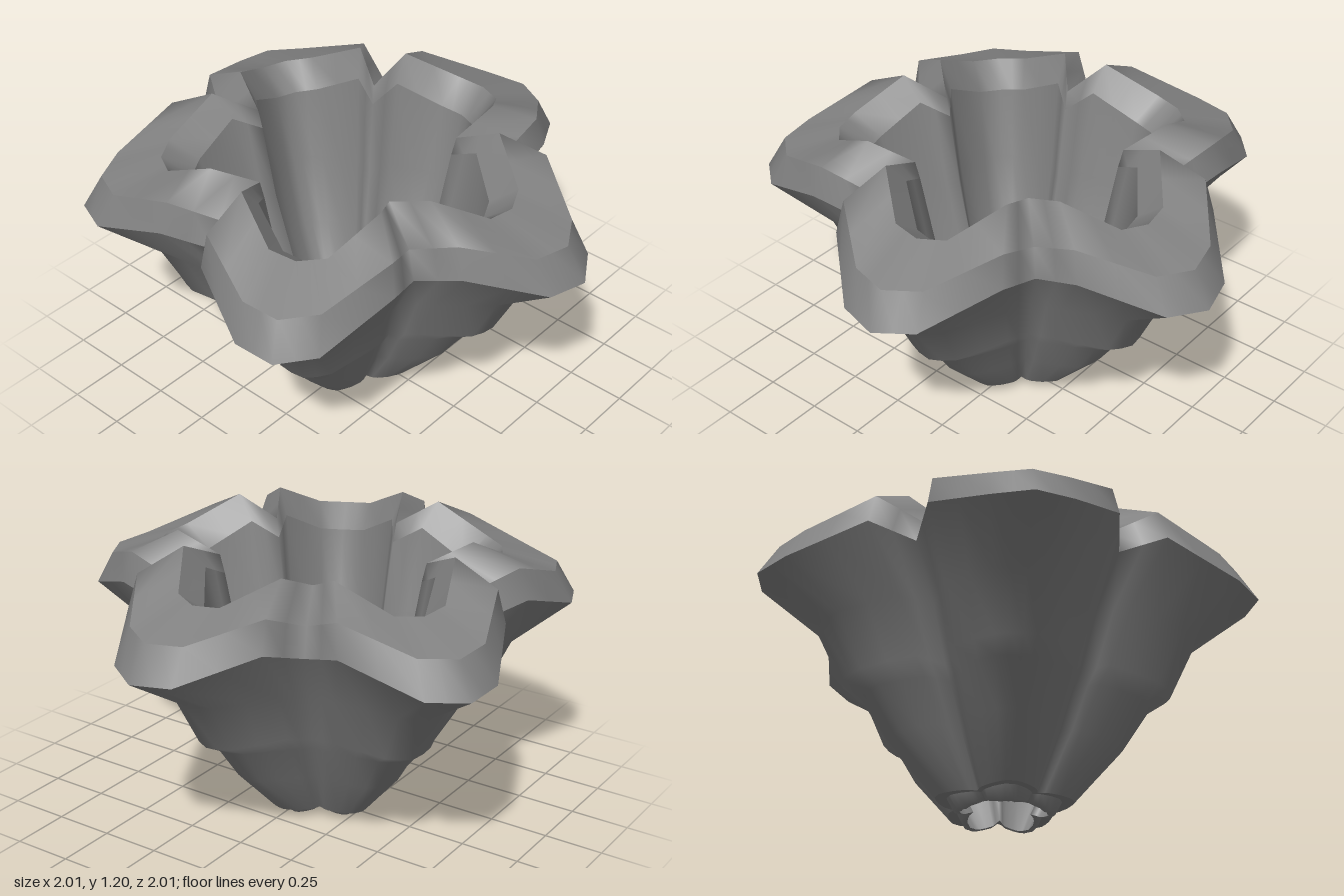
import * as THREE from 'three';

const PETALS = 5;
// angle offsets of notch, shoulder, near-tip, tip, near-tip, shoulder (degrees)
const OFFSETS = [-36, -26.5, -9, 0, 9, 26.5];
const KIND = [0, 1, 2, 3, 2, 1];

// Parts as stacks of cross-sections: base, up the outside, over the rim, down the inside.
// r and y are given for [notch, shoulder, near-tip, tip]; round bulges the side midpoints.
const HOLE = { r: [0.12, 0.15, 0.172, 0.177], y: [0.03, 0.015, 0, 0], round: 0.04 };
const FOOT = { r: [0.2, 0.235, 0.275, 0.285], y: [0.045, 0.045, 0.045, 0.045], round: 0.02 };
const LIP = { r: [0.17, 0.195, 0.228, 0.235], y: [0.05, 0.05, 0.05, 0.05], round: 0.02 };
const RIM = { r: [0.677, 0.825, 1.01, 1.063], y: [0.92, 0.98, 0.87, 0.86], round: 0 };
const UPPER_RIM = { r: [0.626, 0.785, 0.935, 0.98], y: [1.03, 1.11, 1.01, 1.0], round: 0 };
const CREST = { r: [0.433, 0.596, 0.715, 0.738], y: [1.12, 1.2, 1.09, 1.08], round: 0 };
const INNER_RIM = { r: [0.415, 0.51, 0.6, 0.62], y: [1.04, 1.1, 1.0, 0.99], round: 0 };

const PARTS = {
  baseLip: [
    HOLE,
    { r: [0.145, 0.175, 0.2, 0.205], y: [0.03, 0.015, 0, 0], round: 0.03 },
    LIP,
  ],
  baseUnderside: [LIP, FOOT],
  outerWall: [
    FOOT,
    { r: [0.33, 0.39, 0.47, 0.485], y: [0.26, 0.27, 0.26, 0.26], round: 0.015 },
    { r: [0.41, 0.48, 0.58, 0.6], y: [0.42, 0.44, 0.43, 0.42], round: 0.01 },
    { r: [0.45, 0.535, 0.66, 0.69], y: [0.48, 0.51, 0.48, 0.47], round: 0.01 },
    { r: [0.54, 0.64, 0.77, 0.8], y: [0.7, 0.73, 0.7, 0.69], round: 0 },
    RIM,
  ],
  rimEdge: [RIM, UPPER_RIM],
  rimTop: [UPPER_RIM, CREST],
  rimInside: [CREST, INNER_RIM],
  innerWall: [
    INNER_RIM,
    { r: [0.36, 0.44, 0.53, 0.55], y: [0.72, 0.74, 0.7, 0.7], round: 0.01 },
    { r: [0.28, 0.36, 0.43, 0.445], y: [0.42, 0.43, 0.42, 0.42], round: 0.015 },
    { r: [0.2, 0.255, 0.305, 0.315], y: [0.2, 0.2, 0.2, 0.2], round: 0.03 },
    HOLE,
  ],
};

// Five-lobed outline of one cross-section, with a midpoint on every side
function outline({ r, y, round }) {
  const corners = [];
  for (let p = 0; p < PETALS; p++) {
    OFFSETS.forEach((offset, i) => {
      const a = THREE.MathUtils.degToRad(-9 + p * 72 + offset);
      const k = KIND[i];
      corners.push(new THREE.Vector3(r[k] * Math.cos(a), y[k], r[k] * Math.sin(a)));
    });
  }
  return corners.flatMap((c, i) => {
    const mid = c.clone().lerp(corners[(i + 1) % corners.length], 0.5);
    mid.x *= 1 + round;
    mid.z *= 1 + round;
    return [c, mid];
  });
}

// Smooth skin over a stack of rings; edges stay sharp only between parts
function loft(sections) {
  const rings = sections.map(outline);
  const n = rings[0].length;
  const index = [];
  for (let i = 0; i < rings.length - 1; i++) {
    for (let j = 0; j < n; j++) {
      const k = (j + 1) % n;
      const a = i * n + j, b = a + n, c = (i + 1) * n + k, d = i * n + k;
      index.push(a, b, c, a, c, d);
    }
  }
  const geometry = new THREE.BufferGeometry().setFromPoints(rings.flat());
  geometry.setIndex(index);
  geometry.computeVertexNormals();
  return geometry;
}

export function createModel() {
  const group = new THREE.Group();
  group.name = 'flowerBowl';
  const material = new THREE.MeshStandardMaterial({ color: 0x828282 });
  for (const [name, sections] of Object.entries(PARTS)) {
    const mesh = new THREE.Mesh(loft(sections), material);
    mesh.name = name;
    mesh.position.set(-0.05, 0, 0.046); // centres the five-lobed outline's bounds
    group.add(mesh);
  }
  return group;
}
